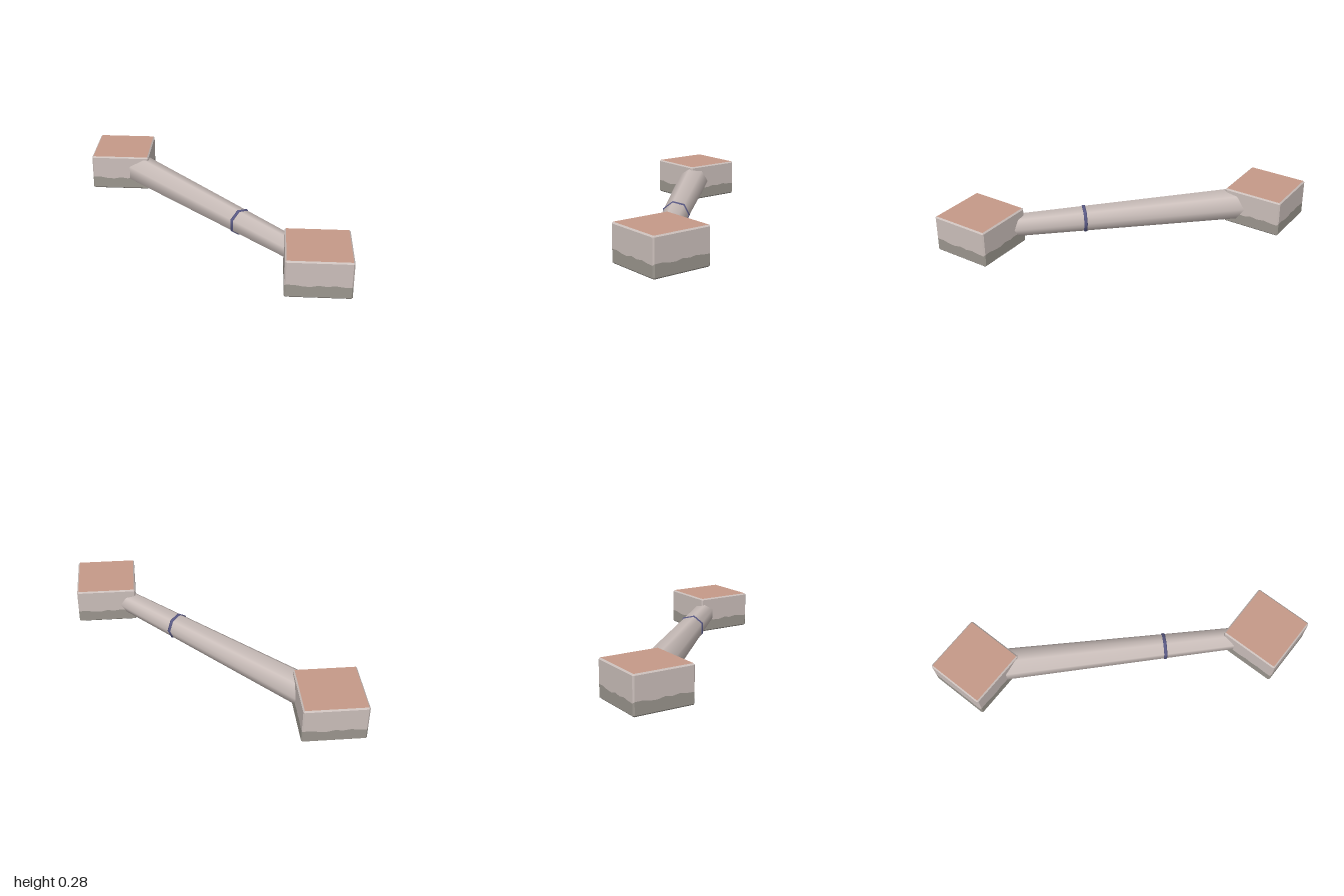
import * as THREE from 'three';

const mat = (name, color, extra = {}) => {
  const m = new THREE.MeshStandardMaterial({ color, ...extra });
  m.name = name;
  return m;
};

const HALF = 0.228, BEVEL = 0.01, HEIGHT = 0.278, CENTRE = 0.772, MID_Y = 0.1425;
// height of the colour border along one side of a block
const WAVE = [0.1, 0.101, 0.091, 0.088, 0.1, 0.092, 0.1, 0.092, 0.09];

// closed loop around the block; out is the distance of each side from the centre
function ring(out, heightAt) {
  const pts = [], flat = HALF - BEVEL, n = WAVE.length;
  for (let side = 0; side < 4; side++) {
    for (let i = 0; i < n; i++) {
      const p = new THREE.Vector3(-flat + (2 * flat * i) / (n - 1), heightAt(i), out);
      pts.push(p.applyAxisAngle(new THREE.Vector3(0, 1, 0), (side * Math.PI) / 2));
    }
  }
  return pts;
}

// wall through a stack of loops, lowest first, with one flat normal per face
function wall(rings) {
  const pos = [];
  for (let r = 0; r < rings.length - 1; r++) {
    const lo = rings[r], hi = rings[r + 1];
    lo.forEach((a, i) => {
      const j = (i + 1) % lo.length;
      for (const p of [a, lo[j], hi[j], a, hi[j], hi[i]]) pos.push(p.x, p.y, p.z);
    });
  }
  const g = new THREE.BufferGeometry();
  g.setAttribute('position', new THREE.Float32BufferAttribute(pos, 3));
  g.computeVertexNormals();
  return g;
}

export function createModel() {
  const model = new THREE.Group();
  const pale = mat('pale plaster', 0xcbbfbb);
  const grey = mat('grey base', 0x9b968e);
  const clay = mat('clay panel', 0xc69a88);
  const blue = mat('dusk blue band', 0x5a5a86);

  const add = (parent, name, geometry, material) => {
    const mesh = new THREE.Mesh(geometry, material);
    mesh.name = name;
    parent.add(mesh);
    return mesh;
  };

  // end blocks: bevelled, two-tone walls with clay panels above and below
  const inner = HALF - BEVEL;
  const border = ring(HALF, i => WAVE[i]);
  const lower = wall([ring(inner, () => 0), ring(HALF, () => BEVEL), border]);
  const upper = wall([border, ring(HALF, () => HEIGHT - BEVEL), ring(inner, () => HEIGHT)]);
  const panel = new THREE.PlaneGeometry(2 * inner, 2 * inner);
  for (const [name, s] of [['backRightBlock', -1], ['frontLeftBlock', 1]]) {
    const block = new THREE.Group();
    block.name = name;
    block.position.set(s * CENTRE, 0, s * CENTRE);
    add(block, 'lowerWall', lower, grey);
    add(block, 'upperWall', upper, pale);
    const top = add(block, 'topPanel', panel, clay);
    top.rotation.x = -Math.PI / 2;
    top.position.y = HEIGHT;
    add(block, 'bottomPanel', panel, clay).rotation.x = Math.PI / 2;
    model.add(block);
  }

  // tapered seven-sided beam running diagonally between the blocks
  const beam = new THREE.Group();
  beam.name = 'beam';
  beam.position.y = MID_Y;
  beam.rotation.y = -Math.PI / 4;
  const length = 2 * CENTRE * Math.SQRT2;
  const shaft = new THREE.CylinderGeometry(0.079, 0.125, length, 7, 1, false, Math.PI / 7);
  add(beam, 'shaft', shaft.rotateZ(-Math.PI / 2), pale);

  // narrow band around the beam
  const profile = [[0.09, -0.012], [0.099, -0.012], [0.102, -0.006], [0.102, 0.006], [0.099, 0.012], [0.09, 0.012]];
  const band = new THREE.LatheGeometry(profile.map(p => new THREE.Vector2(...p)), 7, Math.PI / 7);
  add(beam, 'band', band.rotateZ(-Math.PI / 2), blue).position.x = 0.325;
  model.add(beam);

  return model;
}
